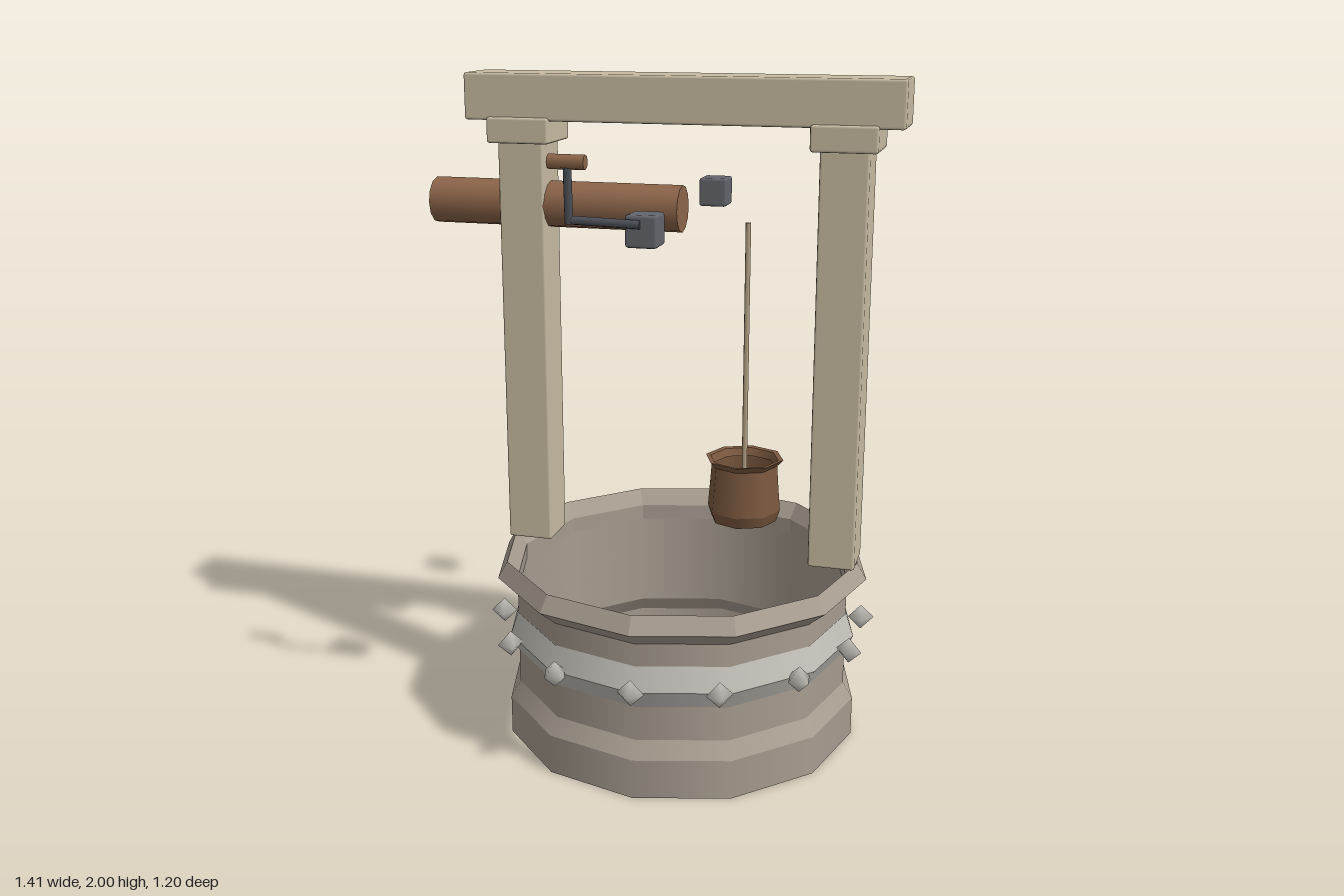
import * as THREE from 'three';
import { mergeGeometries } from 'three/addons/utils/BufferGeometryUtils.js';
import { RoundedBoxGeometry } from 'three/addons/geometries/RoundedBoxGeometry.js';

const CX = 0.062; // well axis

function material(name, color, side = THREE.FrontSide) {
  const m = new THREE.MeshStandardMaterial({ color, side });
  m.name = name;
  return m;
}

// Lathe with a sharp edge at every profile point; optionally faceted around too
function bandedLathe(profile, sides, flat = false) {
  const bands = [];
  for (let i = 0; i < profile.length - 1; i++) {
    const pts = [profile[i], profile[i + 1]].map(([r, y]) => new THREE.Vector2(r, y));
    bands.push(new THREE.LatheGeometry(pts, sides));
  }
  const merged = mergeGeometries(bands);
  if (!flat) return merged;
  const faceted = merged.toNonIndexed();
  faceted.computeVertexNormals();
  return faceted;
}

export function createModel() {
  const group = new THREE.Group();
  group.name = 'well';

  const stone = material('stone', 0xa89d90, THREE.DoubleSide);
  const paleWood = material('pale wood', 0xc8bba2);
  const brownWood = material('brown wood', 0x8c6549);
  const bucketWood = material('bucket wood', 0x7d5a40, THREE.DoubleSide);
  const lightMetal = material('light metal', 0xc2bfb8, THREE.DoubleSide);
  const hubMetal = material('hub metal', 0x63656c);
  const darkMetal = material('dark metal', 0x4b4f56);
  const rope = material('rope', 0xb3a084);

  function add(name, geometry, mat, x = 0, y = 0, z = 0) {
    const mesh = new THREE.Mesh(geometry, mat);
    mesh.name = name;
    mesh.position.set(x, y, z);
    group.add(mesh);
    return mesh;
  }

  // Box given by its centre x and z, bottom and top, with softly bevelled edges
  function beam(name, mat, x, y0, y1, z, width, depth) {
    const geometry = new RoundedBoxGeometry(width, y1 - y0, depth, 1, 0.008);
    return add(name, geometry, mat, x, (y0 + y1) / 2, z);
  }

  // Open twelve-sided stone wall with a wider foot
  add('wall', bandedLathe([[0.547, 0], [0.547, 0.12], [0.517, 0.17], [0.517, 0.5]], 12), stone, CX);

  // Ridged stone rim
  const rimProfile = [[0.517, 0.47], [0.576, 0.52], [0.547, 0.57], [0.515, 0.52], [0.517, 0.47]];
  add('rim', bandedLathe(rimProfile, 12, true), stone, CX);

  // Metal hoop with a ring of pointed studs
  add('hoop', bandedLathe([[0.517, 0.275], [0.543, 0.33], [0.519, 0.402]], 12), lightMetal, CX);
  const studGeometry = new THREE.SphereGeometry(0.04, 4, 2);
  const studCount = 14;
  for (let i = 0; i < studCount; i++) {
    const a = (i / studCount) * Math.PI * 2;
    const stud = add('stud', studGeometry, lightMetal,
      CX + 0.562 * Math.sin(a), 0.34, 0.562 * Math.cos(a));
    stud.rotation.y = a;
  }

  // Posts with caps, carrying the crossbeam
  for (const side of [-1, 1]) {
    const x = CX + side * 0.476;
    beam('post', paleWood, x, 0.57, 1.805, 0, 0.14, 0.14);
    beam('postCap', paleWood, x, 1.8, 1.875, 0, 0.19, 0.19);
  }
  beam('crossbeam', paleWood, CX, 1.865, 2, 0, 1.284, 0.165);

  // Winding drum through one post
  const drum = add('drum', new THREE.CylinderGeometry(0.069, 0.069, 0.77, 12), brownWood, -0.325, 1.617, 0);
  drum.rotation.z = Math.PI / 2;

  // Axle hubs at front and back
  for (const z of [0.4, -0.4]) {
    beam('hub', hubMetal, CX, 1.574, 1.662, z, 0.088, 0.088);
  }

  // Cranked handle: two straight rods and a grip
  function rod(name, from, to, radius, mat, sides) {
    const a = new THREE.Vector3(...from), b = new THREE.Vector3(...to);
    const dir = b.clone().sub(a);
    const mesh = add(name, new THREE.CylinderGeometry(radius, radius, dir.length(), sides), mat);
    mesh.position.copy(a).add(b).multiplyScalar(0.5);
    mesh.quaternion.setFromUnitVectors(new THREE.Vector3(0, 1, 0), dir.normalize());
    return mesh;
  }
  const elbow = [-0.13, 1.645, 0.459];
  rod('crankArm', [0.062, 1.638, 0.447], elbow, 0.012, darkMetal, 8);
  rod('crankUpright', [-0.13, 1.635, 0.459], [-0.13, 1.79, 0.467], 0.012, darkMetal, 8);
  rod('crankGrip', [-0.182, 1.798, 0.465], [-0.08, 1.798, 0.465], 0.02, brownWood, 8);

  // Bucket hanging on its rope
  const bucketProfile = [[0.1, 0.68], [0.112, 0.715], [0.105, 0.8], [0.101, 0.855], [0.119, 0.875], [0.104, 0.873], [0.095, 0.85]];
  add('bucket', bandedLathe(bucketProfile, 8), bucketWood, 0.256);
  rod('rope', [0.256, 0.78, 0], [0.256, 1.585, 0], 0.008, rope, 8);

  return group;
}
